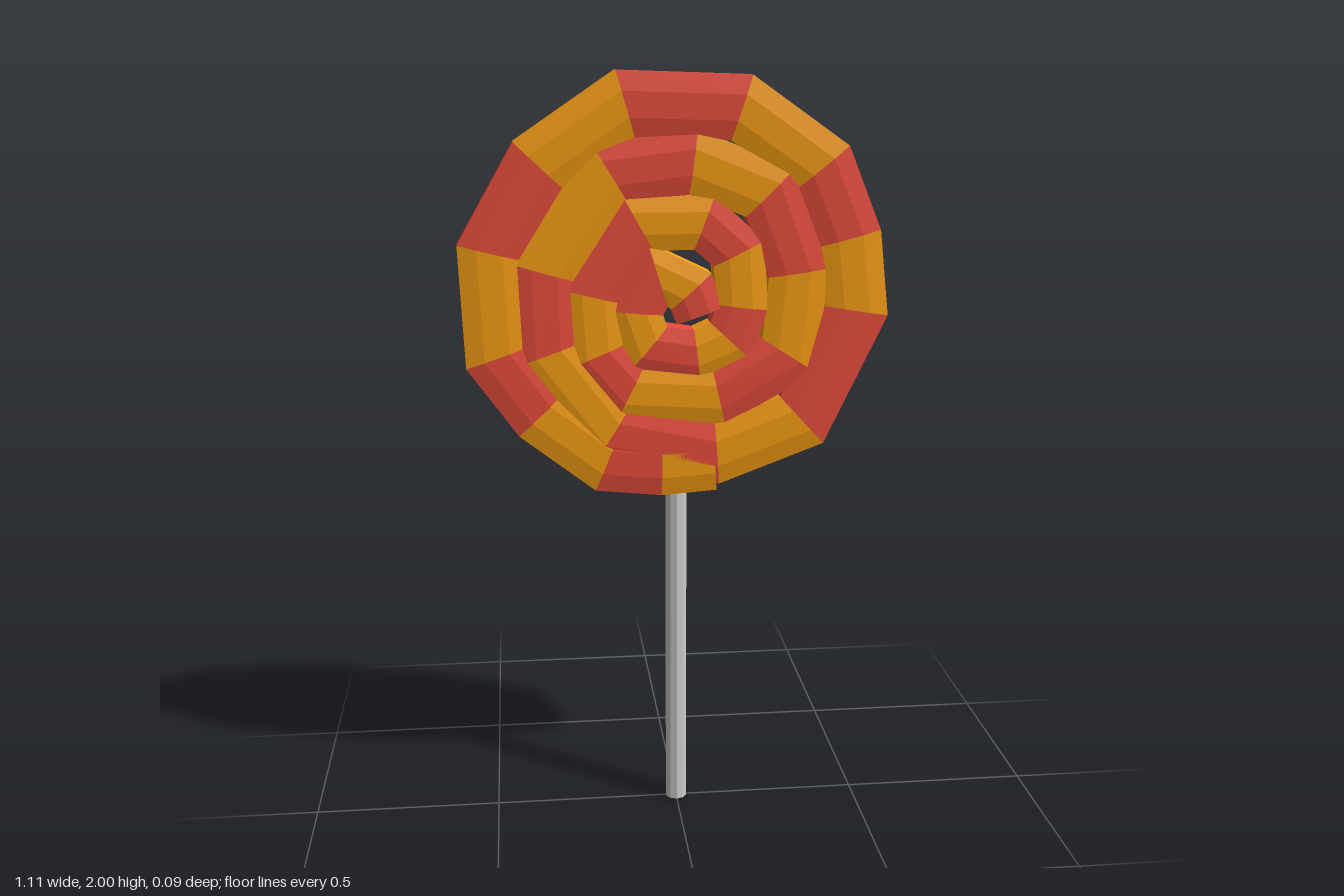
import * as THREE from 'three';

// Joints of the candy rope [x, y], from its outer tail inward to the centre
const JOINTS = [
  [0.10, 0.99], [-0.04, 0.98], [-0.185, 0.995], [-0.355, 1.127], [-0.465, 1.28], [-0.476, 1.55],
  [-0.35, 1.767], [-0.13, 1.915], [0.164, 1.905], [0.375, 1.757], [0.45, 1.575], [0.472, 1.386],
  [0.333, 1.095], [0.106, 1.01], [-0.17, 1.07], [-0.333, 1.286], [-0.34, 1.497], [-0.17, 1.746],
  [0.042, 1.772], [0.238, 1.693], [0.317, 1.487], [0.296, 1.27], [0.11, 1.164], [-0.122, 1.18],
  [-0.206, 1.28], [-0.217, 1.434], [-0.10, 1.62], [0.07, 1.62], [0.16, 1.54], [0.17, 1.40],
  [0.14, 1.312], [0.053, 1.275], [-0.074, 1.296], [-0.106, 1.39], [-0.05, 1.487], [0.037, 1.444],
  [0.06, 1.38],
].map(([x, y]) => new THREE.Vector2(x, y));

// Rope cross-section [across, z]: a flat bar with shallow bevelled faces
const SECTION = [
  [1, -0.034], [1, 0.034], [0.4, 0.043], [-0.4, 0.043],
  [-1, 0.034], [-1, -0.034], [-0.4, -0.043], [0.4, -0.043],
];

// Mitred cross-section at joint i
function ringAt(i) {
  const last = JOINTS.length - 1;
  const p = JOINTS[i];
  const before = p.clone().sub(JOINTS[Math.max(i - 1, 0)]).normalize();
  const after = JOINTS[Math.min(i + 1, last)].clone().sub(p).normalize();
  const dir = before.clone().add(after).normalize();
  const cosHalf = Math.max(0.75, dir.dot(i === 0 ? after : before));
  const half = THREE.MathUtils.lerp(0.081, 0.064, THREE.MathUtils.smoothstep(i, 14, 34)) / cosHalf;
  return SECTION.map(([u, z]) =>
    new THREE.Vector3(p.x - dir.y * u * half, p.y + dir.x * u * half, z - 0.003));
}

// One straight piece of rope between two rings, closed at both ends
function segmentGeometry(a, b) {
  const pos = [];
  const tri = (...pts) => pts.forEach((p) => pos.push(p.x, p.y, p.z));
  const n = a.length;
  for (let j = 0; j < n; j++) {
    const k = (j + 1) % n;
    tri(a[j], a[k], b[k]);
    tri(a[j], b[k], b[j]);
    if (j > 0 && k > 0) {
      tri(a[0], a[k], a[j]);
      tri(b[0], b[j], b[k]);
    }
  }
  const geo = new THREE.BufferGeometry();
  geo.setAttribute('position', new THREE.Float32BufferAttribute(pos, 3));
  geo.computeVertexNormals();
  return geo;
}

export function createModel() {
  const model = new THREE.Group();
  model.name = 'lollipop';

  // Spiral candy in alternating colours
  const colors = [0xf39c12, 0xe74c3c].map(
    (color) => new THREE.MeshStandardMaterial({ color, flatShading: true }));
  const candy = new THREE.Group();
  candy.name = 'candySpiral';
  const rings = JOINTS.map((_, i) => ringAt(i));
  for (let i = 0; i < rings.length - 1; i++) {
    const piece = new THREE.Mesh(segmentGeometry(rings[i], rings[i + 1]), colors[i % 2]);
    piece.name = i % 2 ? 'redPiece' : 'orangePiece';
    candy.add(piece);
  }
  model.add(candy);

  // Stick, pushed into the bottom of the candy
  const height = 1.0;
  const stick = new THREE.Mesh(
    new THREE.CylinderGeometry(0.029, 0.029, height, 10),
    new THREE.MeshStandardMaterial({ color: 0xcccccc, flatShading: true }));
  stick.name = 'stick';
  stick.position.y = height / 2;
  model.add(stick);

  return model;
}
